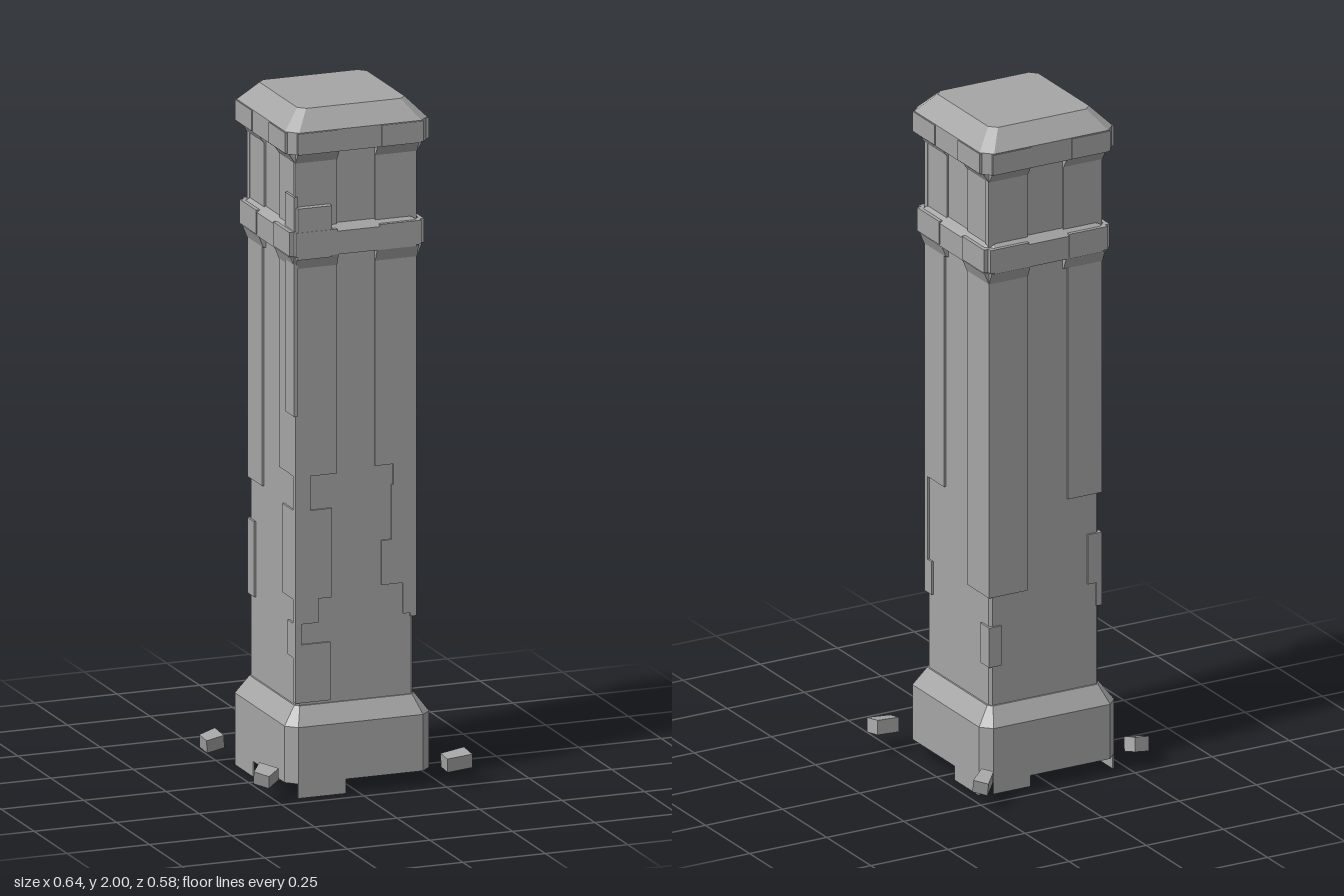
import * as THREE from 'three';

const stone = new THREE.MeshStandardMaterial({ color: 0xa6a6a6, side: THREE.DoubleSide, flatShading: true });
stone.name = 'grey stone';

function add(parent, geometry, name) {
  const mesh = new THREE.Mesh(geometry, stone);
  mesh.name = name;
  parent.add(mesh);
  return mesh;
}

// Square ring with cut corners, ordered counter-clockwise from above
function ring(h, c, y) {
  const a = h - c;
  return [[a, h], [h, a], [h, -a], [a, -h], [-a, -h], [-h, -a], [-h, a], [-a, h]].map(([x, z]) => [x, y, z]);
}

// Stacks rings [half width, corner cut, y] into a hollow or closed block
function loft(levels, capTop = false, capBottom = false) {
  const pos = [], rings = levels.map(l => ring(...l));
  const tri = (...p) => p.forEach(v => pos.push(...v));
  for (let j = 0; j < rings.length - 1; j++) {
    for (let i = 0; i < 8; i++) {
      const k = (i + 1) % 8, a = rings[j], b = rings[j + 1];
      tri(a[i], a[k], b[k]);
      tri(a[i], b[k], b[i]);
    }
  }
  const t = rings[rings.length - 1], b = rings[0];
  for (let i = 1; i < 7; i++) {
    if (capTop) tri(t[0], t[i], t[i + 1]);
    if (capBottom) tri(b[0], b[i + 1], b[i]);
  }
  const g = new THREE.BufferGeometry();
  g.setAttribute('position', new THREE.Float32BufferAttribute(pos, 3));
  g.computeVertexNormals();
  return g;
}

// Box given by its limits
function block(x0, x1, y0, y1, z0, z1) {
  return new THREE.BoxGeometry(x1 - x0, y1 - y0, z1 - z0)
    .translate((x0 + x1) / 2, (y0 + y1) / 2, (z0 + z1) / 2);
}

// Wedge under a band: its lower edge is pulled back to the wall
function corbel(x0, x1, y0, y1, out) {
  const g = block(x0, x1, y0, y1, 0.16, out), p = g.attributes.position;
  for (let i = 0; i < p.count; i++) {
    if (p.getY(i) < (y0 + y1) / 2 && p.getZ(i) > 0.17) p.setZ(i, 0.184);
  }
  g.computeVertexNormals();
  return g;
}

// Corner facing slabs per side (front, +x, back, -x): [corner sign, width, y0, y1]
const facings = [
  [[-1, 0.125, 0.93, 1.57], [-1, 0.045, 0.83, 0.93], [-1, 0.11, 0.57, 0.83], [-1, 0.07, 0.5, 0.57], [-1, 0.105, 0.27, 0.44],
    [1, 0.125, 0.94, 1.57], [1, 0.07, 0.88, 0.94], [1, 0.075, 0.72, 0.88], [1, 0.105, 0.59, 0.72], [1, 0.04, 0.5, 0.59]],
  [[-1, 0.11, 0.84, 1.57], [-1, 0.04, 0.49, 0.59], [1, 0.125, 0.59, 1.57], [1, 0.05, 0.38, 0.5]],
  [[-1, 0.125, 0.59, 1.57], [-1, 0.04, 0.38, 0.5], [1, 0.11, 0.84, 1.57], [1, 0.045, 0.57, 0.72]],
  [[-1, 0.11, 0.84, 1.57], [-1, 0.05, 0.5, 0.72], [1, 0.125, 0.93, 1.57], [1, 0.1, 0.57, 0.83], [1, 0.06, 0.4, 0.5]],
];

export function createModel() {
  const model = new THREE.Group();
  model.name = 'stonePillar';
  const pillar = new THREE.Group();
  pillar.name = 'pillar';
  pillar.position.set(0.003, 0, -0.002);
  model.add(pillar);

  // Main bodies
  add(pillar, loft([[0.219, 0.03, 0.045], [0.219, 0.03, 0.21], [0.182, 0.012, 0.262], [0.17, 0.012, 0.262]]), 'base');
  add(pillar, loft([[0.177, 0.008, 0.25], [0.177, 0.008, 1.9]]), 'shaft');
  add(pillar, loft([[0.176, 0.01, 1.575], [0.201, 0.025, 1.575], [0.201, 0.025, 1.643], [0.178, 0.012, 1.662]]), 'band');
  add(pillar, loft([[0.17, 0.02, 1.88], [0.215, 0.03, 1.88], [0.215, 0.03, 1.945], [0.163, 0.02, 2]], true, true), 'cap');

  // Facings, corbels and brackets on each side
  facings.forEach((slabs, k) => {
    const side = new THREE.Group();
    side.name = 'side' + (k + 1);
    side.rotation.y = k * Math.PI / 2;
    pillar.add(side);
    for (const [s, w, y0, y1] of slabs) {
      const u = [s * 0.183, s * (0.183 - w)].sort((a, b) => a - b);
      add(side, block(u[0], u[1], y0, y1, 0.165, 0.183), 'cornerFacing');
    }
    for (const s of [-1, 1]) {
      const u = [s * 0.184, s * 0.058].sort((a, b) => a - b);
      add(side, corbel(u[0], u[1], 1.54, 1.576, 0.199), 'bandCorbel');
      add(side, corbel(u[0], u[1], 1.848, 1.882, 0.206), 'capBracket');
      add(side, block(u[0], u[1], 1.65, 1.85, 0.165, 0.182), 'neckFacing');
      // Raised pads on the band and cap
      const p = [s * 0.19, s * 0.065].sort((a, b) => a - b);
      add(side, block(p[0], p[1], 1.58, 1.65, 0.18, 0.204), 'bandPad');
      add(side, block(p[0], p[1], 1.883, 1.943, 0.2, 0.218), 'capPad');
    }
  });
  add(pillar, block(-0.184, -0.08, 1.57, 1.72, 0.17, 0.203), 'bandSlab');
  add(pillar, block(-0.19, -0.178, 1.11, 1.75, 0.12, 0.188), 'edgeSliver');

  // Uneven lower edge of the base
  add(pillar, block(-0.189, -0.045, 0.003, 0.05, 0.214, 0.219), 'baseSkirt');
  add(pillar, block(0.214, 0.219, 0.003, 0.05, -0.189, -0.05), 'baseSkirt');
  add(pillar, block(0.07, 0.189, 0.012, 0.05, -0.219, -0.214), 'baseSkirt');
  add(pillar, block(-0.219, -0.214, 0, 0.05, -0.189, -0.05), 'baseSkirt');

  // Loose chips: [x, y, z, width, depth, turn, tilt]
  const chips = [
    [-0.278, 0.07, -0.213, 0.055, 0.048, 0.2, 0.25],
    [0.243, 0.07, -0.254, 0.06, 0.045, 0.75, -0.2],
    [-0.28, 0.075, 0.2, 0.048, 0.06, 0.75, 0.25],
    [0.278, 0.077, 0.253, 0.076, 0.054, 0.08, 0.15],
  ];
  for (const [x, y, z, w, d, turn, tilt] of chips) {
    const g = new THREE.BoxGeometry(w, 0.042, d), p = g.attributes.position;
    for (let i = 0; i < p.count; i++) {
      if (p.getX(i) < 0) p.setZ(i, p.getZ(i) * 0.8);
    }
    g.computeVertexNormals();
    const chip = add(model, g, 'looseChip');
    chip.position.set(x, y, z);
    chip.rotation.set(tilt, turn, tilt * 0.6);
  }
  return model;
}
